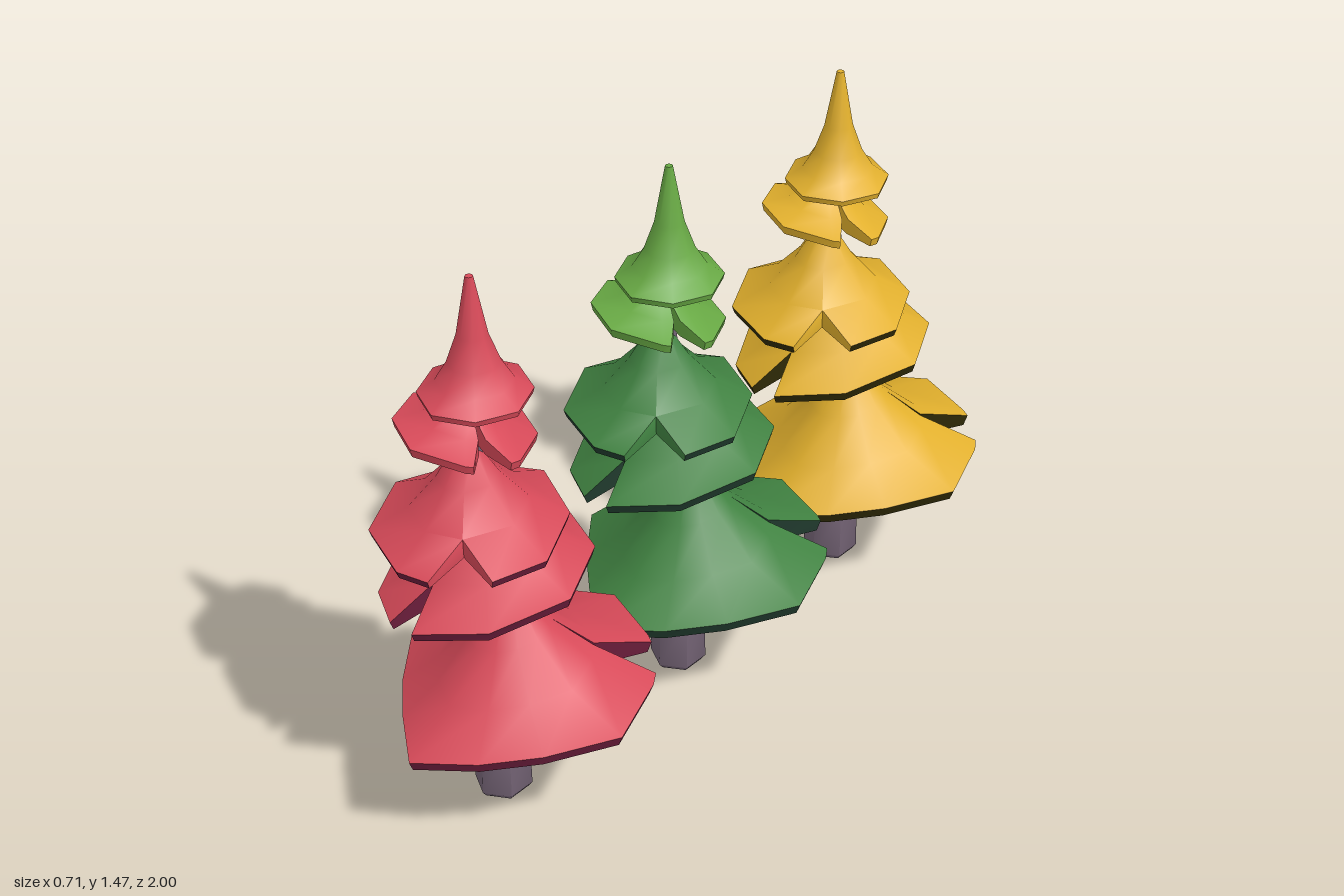
import * as THREE from 'three';
import { toCreasedNormals } from 'three/addons/utils/BufferGeometryUtils.js';

const mat = (name, color) => {
  const m = new THREE.MeshStandardMaterial({ color });
  m.name = name;
  return m;
};

const RAD = Math.PI / 180;
const skirt = [[0, 1], [0.11, 1], [0.31, 0.63], [0.6, 0.26], [1, 0]];
const spire = [[0, 1], [0.07, 1], [0.27, 0.5], [0.46, 0.26], [0.68, 0.1], [1, 0]];

// centre, apex and rim heights, tilt along x and z, rim thickness,
// rim radii evenly spaced from +x towards +z,
// notches as [angle, width, inner fraction of the radius]
const layers = [
  { name: 'bottomBranches', x: -0.016, z: 0.02, top: 0.61, rim: 0.335, tilt: [0.09, -0.11], t: 0.028,
    radii: [0.368, 0.298, 0.29, 0.335, 0.265, 0.268, 0.338, 0.33, 0.35, 0.375, 0.352, 0.355],
    notches: [[205, 7, 0.65], [314, 19, 0.55]] },
  { name: 'lowerMiddleBranches', x: -0.045, z: 0.04, top: 0.92, rim: 0.672, tilt: [0.18, -0.12], t: 0.024,
    radii: [0.265, 0.255, 0.265, 0.26, 0.285, 0.265, 0.265, 0.25],
    notches: [[96, 18, 0.7], [250, 22, 0.55]] },
  { name: 'upperMiddleBranches', x: -0.075, z: 0.06, top: 1.02, rim: 0.807, tilt: [0.03, -0.05], t: 0.021,
    radii: [0.245, 0.235, 0.235, 0.235, 0.25, 0.235, 0.245, 0.23],
    notches: [[51, 36, 0.6]], leafCuts: true },
  { name: 'collarBranches', x: -0.07, z: 0.06, top: 1.18, rim: 1.075, tilt: [-0.09, 0.15], t: 0.022, light: true,
    radii: [0.17, 0.17, 0.172, 0.165, 0.17, 0.16, 0.165, 0.16],
    notches: [[24, 30, 0.42]] },
  { name: 'crown', x: -0.055, z: 0.04, top: 1.465, rim: 1.17, tilt: [0, 0], t: 0.015, light: true, profile: spire,
    radii: [0.135, 0.132, 0.137, 0.132, 0.135, 0.132, 0.137, 0.132], notches: [] },
];

// Tilted cone with a shallow hollow, split into segments wherever a notch is cut
function branchGeometries(L) {
  const profile = L.profile || skirt;
  const hollow = L.light ? 0.2 : 0.4;
  const rows = profile.length, n = L.radii.length, step = 360 / n;
  const mean = L.radii.reduce((sum, r) => sum + r, 0) / n;
  const position = [], topFaces = [], underFaces = [];

  const radiusAt = (a) => {
    const u = (((a % 360) + 360) % 360) / step, i = Math.floor(u);
    return THREE.MathUtils.lerp(L.radii[i % n], L.radii[(i + 1) % n], u - i);
  };
  const half = (notch, f) => notch[1] / 2 * Math.max(0, (f - notch[2]) / (1 - notch[2]));

  const segment = (from, to) => {
    const a0 = from[0], a1 = to[0] > from[0] ? to[0] : to[0] + 360;
    const cols = [a0];
    for (let k = Math.ceil(a0 / step); k * step < a1; k++) {
      const a = k * step;
      if (a - a0 > from[1] / 2 + 3 && a1 - a > to[1] / 2 + 3) cols.push(a);
    }
    cols.push(a1);
    const base = position.length / 3, last = cols.length - 1, loop = rows * 2;
    // Each column runs down the outside and back up the inside; it is round at the top, irregular at the rim
    cols.forEach((col, i) => {
      for (let j = 0; j < loop; j++) {
        const inner = j >= rows;
        const [f, h] = profile[inner ? loop - 1 - j : j];
        const a = i === 0 ? col + half(from, f) : i === last ? col - half(to, f) : col;
        const r = THREE.MathUtils.lerp(mean, radiusAt(a), f) * f * (inner ? 0.97 : 1);
        const dx = r * Math.cos(a * RAD), dz = r * Math.sin(a * RAD);
        const rise = (L.top - L.rim) * h;
        const y = L.rim + dx * L.tilt[0] + dz * L.tilt[1] + (inner ? rise * hollow - L.t : rise);
        position.push(L.x + dx, y, L.z + dz);
      }
    });
    const at = (i, j) => base + i * loop + j;
    const quad = (list, a, b, c, d) => list.push(a, b, c, a, c, d);
    for (let i = 0; i < last; i++) {
      for (let j = 0; j < loop - 1; j++) {
        quad(j < rows - 1 ? topFaces : underFaces, at(i, j), at(i + 1, j), at(i + 1, j + 1), at(i, j + 1));
      }
    }
    // Cut faces of the notches
    if (L.notches.length) {
      const cutFaces = L.leafCuts ? topFaces : underFaces;
      for (let j = 0; j < rows - 1; j++) {
        const k = loop - 1 - j;
        quad(cutFaces, at(0, j), at(0, j + 1), at(0, k - 1), at(0, k));
        quad(cutFaces, at(last, k), at(last, k - 1), at(last, j + 1), at(last, j));
      }
    }
  };

  const cuts = L.notches.length ? L.notches : [[0, 0, 0.5]];
  cuts.forEach((cut, i) => segment(cut, cuts[(i + 1) % cuts.length]));

  return [topFaces, underFaces].map((faces) => {
    const g = new THREE.BufferGeometry();
    g.setAttribute('position', new THREE.Float32BufferAttribute(position, 3));
    g.setIndex(faces);
    return toCreasedNormals(g, 0.95);
  });
}

// Bent, tapering six-sided trunk: rings of [y, x, z, radius]
function trunkGeometry() {
  const rings = [
    [0, -0.043, 0.03, 0.062], [0.015, -0.043, 0.03, 0.073], [0.16, -0.043, 0.028, 0.07],
    [0.3, -0.02, 0.008, 0.059], [0.6, -0.018, 0.02, 0.04], [0.68, -0.03, 0.03, 0.035],
    [1.05, -0.076, 0.04, 0.026], [1.17, -0.06, 0.04, 0.02],
  ];
  const g = new THREE.CylinderGeometry(1, 1, rings.length - 1, 6, rings.length - 1);
  const p = g.attributes.position;
  for (let i = 0; i < p.count; i++) {
    const [y, x, z, r] = rings[Math.round(p.getY(i) + (rings.length - 1) / 2)];
    p.setXYZ(i, x + p.getX(i) * r, y, z + p.getZ(i) * r);
  }
  return toCreasedNormals(g, 1.1);
}

export function createModel() {
  const bark = mat('bark', 0x776678);
  const red = mat('red', 0xd84a59), maroon = mat('maroon', 0x6c1e3c);
  const green = mat('green', 0x418342), lightGreen = mat('light green', 0x68a944);
  const darkGreen = mat('dark green', 0x213b2e);
  const yellow = mat('yellow', 0xe2b02d), olive = mat('dark olive', 0x2f2a06);

  const trees = [
    { name: 'redTree', z: 0.645, leaf: red, under: maroon, tip: red },
    { name: 'greenTree', z: -0.007, leaf: green, under: darkGreen, tip: lightGreen },
    { name: 'yellowTree', z: -0.645, leaf: yellow, under: olive, tip: yellow },
  ];

  const shells = layers.map(branchGeometries);
  const trunkGeo = trunkGeometry();
  const twigPath = new THREE.CatmullRomCurve3([
    new THREE.Vector3(-0.02, 0.642, 0.02), new THREE.Vector3(0.033, 0.642, -0.01),
    new THREE.Vector3(0.046, 0.655, -0.02), new THREE.Vector3(0.046, 0.69, -0.022),
  ]);
  const twigGeo = new THREE.TubeGeometry(twigPath, 10, 0.011, 6);
  const tipGeo = new THREE.SphereGeometry(0.011, 6, 4);

  const model = new THREE.Group();
  model.name = 'threeTrees';
  for (const tree of trees) {
    const group = new THREE.Group();
    group.name = tree.name;
    group.position.z = tree.z;
    const add = (geometry, material, name) => {
      const mesh = new THREE.Mesh(geometry, material);
      mesh.name = name;
      group.add(mesh);
      return mesh;
    };
    add(trunkGeo, bark, 'trunk');
    add(twigGeo, bark, 'twig');
    add(tipGeo, bark, 'twigTip').position.set(0.046, 0.69, -0.022);
    layers.forEach((L, i) => {
      add(shells[i][0], L.light ? tree.tip : tree.leaf, L.name);
      add(shells[i][1], L.light ? tree.tip : tree.under, L.name + 'Underside');
    });
    model.add(group);
  }
  return model;
}
